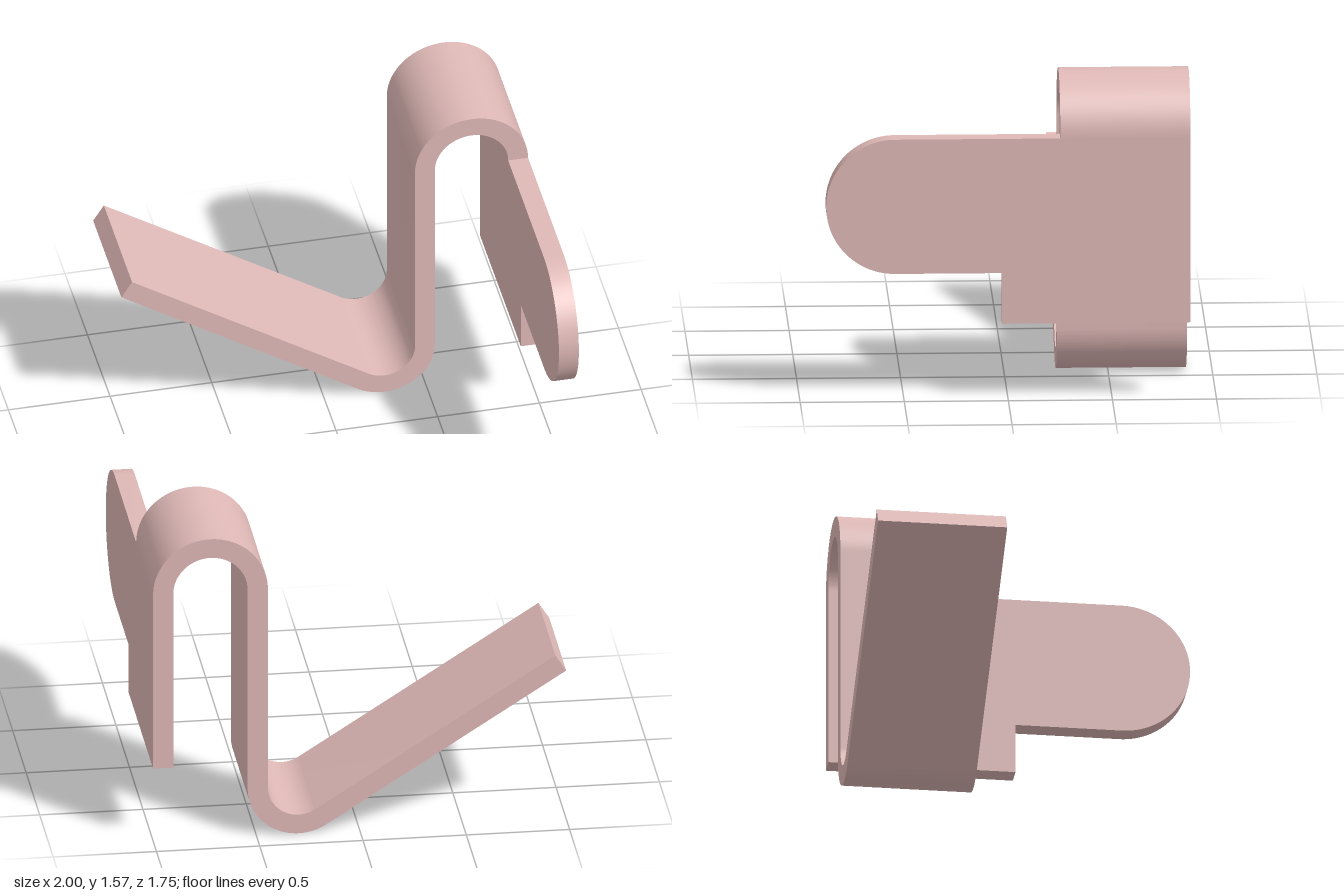
import * as THREE from 'three';
import { toCreasedNormals } from 'three/addons/utils/BufferGeometryUtils.js';

const THICK = 0.098;      // sheet thickness
const BACK = -0.875;      // rear edge of the strip
const TOP_Y = 1.292;      // where the upper bend begins
const SLOPE = 0.567;      // tilt of the sloping arm

function sheet(shape, depth) {
  const geometry = new THREE.ExtrudeGeometry(shape, { depth, bevelEnabled: false, curveSegments: 40 });
  return toCreasedNormals(geometry, 0.5);
}

export function createModel() {
  const group = new THREE.Group();
  group.name = 'bentHookBracket';
  const material = new THREE.MeshStandardMaterial({ color: 0xdeb8b6 });
  const add = (name, geometry) => {
    const mesh = new THREE.Mesh(geometry, material);
    mesh.name = name;
    group.add(mesh);
  };

  // Bent strip: upper hook, straight wall, lower bend and sloping arm
  const topX = 0.722, topR = 0.278;
  const lowX = 0.295, lowR = 0.247;
  const armAngle = -Math.PI / 2 - SLOPE;
  const strip = new THREE.Shape();
  strip.moveTo(1, TOP_Y);
  strip.absarc(topX, TOP_Y, topR, 0, Math.PI, false);
  strip.absarc(lowX, lowR, lowR - THICK, 0, armAngle, true);
  strip.lineTo(-1 + THICK * Math.sin(SLOPE), 0.78 + THICK * Math.cos(SLOPE));
  strip.lineTo(-1, 0.78);
  strip.absarc(lowX, lowR, lowR, armAngle, 0, false);
  strip.absarc(topX, TOP_Y, topR - THICK, Math.PI, 0, true);
  strip.closePath();
  add('bentStrip', sheet(strip, 0.625).translate(0, 0, BACK));

  // Side plate with rounded tongue and lower tab, drawn in z and y
  const low = 0.63, r = (TOP_Y - low) / 2;
  const plate = new THREE.Shape();
  plate.moveTo(BACK, TOP_Y);
  plate.lineTo(BACK, 0.38);
  plate.lineTo(0.03, 0.38);
  plate.lineTo(0.03, low);
  plate.absarc(-BACK - r, low + r, r, -Math.PI / 2, Math.PI / 2, false);
  plate.closePath();
  add('sidePlate', sheet(plate, THICK).rotateY(-Math.PI / 2).translate(1, 0, 0));

  return group;
}
